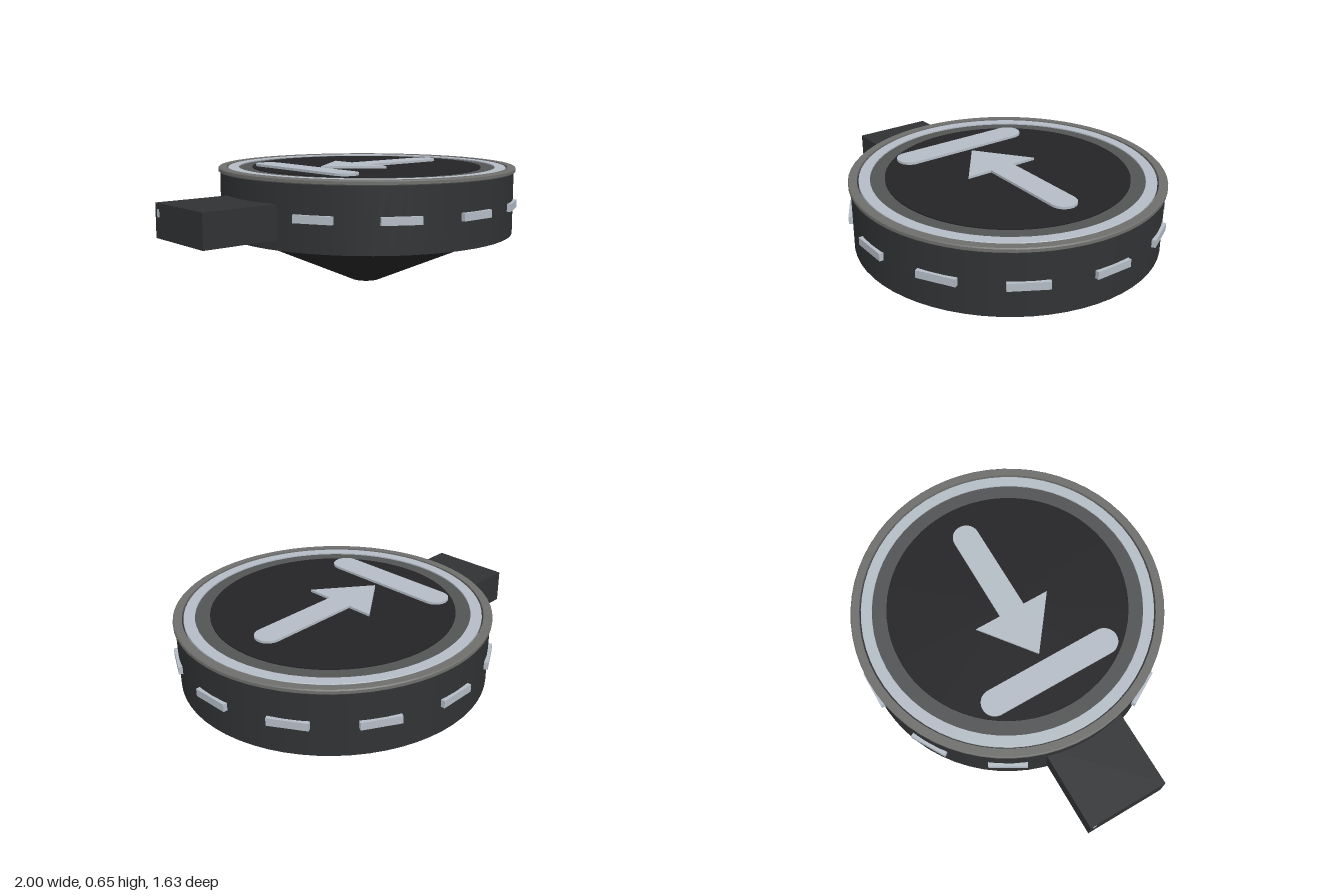
import * as THREE from 'three';
import { toCreasedNormals } from 'three/addons/utils/BufferGeometryUtils.js';

const CX = 0.18; // axis of the round housing
const mat = (color) => new THREE.MeshStandardMaterial({ color });

export function createModel() {
  const root = new THREE.Group();
  const black = mat(0x242427), dark = mat(0x303234), grey = mat(0x525354);
  const rimGrey = mat(0x6e6e6c), light = mat(0xb4bcc5);

  const add = (name, geo, material, x = CX, y = 0, z = 0) => {
    const m = new THREE.Mesh(geo, material);
    m.name = name;
    m.position.set(x, y, z);
    root.add(m);
    return m;
  };
  const drum = (name, rTop, rBottom, y0, y1, material) =>
    add(name, new THREE.CylinderGeometry(rTop, rBottom, y1 - y0, 64), material, CX, (y0 + y1) / 2);
  // Closed ring with a small bevel on its outer edges
  const ring = (name, rIn, rOut, y0, y1, bevel, material) => {
    const pts = [[rIn, y0], [rOut - bevel, y0], [rOut, y0 + bevel], [rOut, y1 - bevel],
      [rOut - bevel, y1], [rIn, y1], [rIn, y0]].map(([x, y]) => new THREE.Vector2(x, y));
    add(name, toCreasedNormals(new THREE.LatheGeometry(pts, 64), 0.5), material);
  };

  // Housing and tapered underside
  drum('housing', 0.8, 0.8, 0.285, 0.622, dark);
  drum('taperedBase', 0.72, 0.08, 0, 0.286, black);

  // Concentric rings and face plate on top
  ring('outerRim', 0.765, 0.81, 0.615, 0.64, 0.005, rimGrey);
  ring('lightRing', 0.70, 0.757, 0.615, 0.638, 0.002, light);
  ring('innerRing', 0.6, 0.70, 0.615, 0.632, 0.001, grey);
  drum('facePlate', 0.625, 0.625, 0.615, 0.637, black);

  // Raised symbols: shapes are drawn in x and z, then laid flat
  const symbol = (name, shape) => {
    const geo = new THREE.ExtrudeGeometry(shape, { depth: 0.02, bevelEnabled: false, curveSegments: 12 });
    geo.rotateX(-Math.PI / 2);
    add(name, toCreasedNormals(geo, 0.5), light, 0, 0.63);
  };
  const arrow = new THREE.Shape();
  arrow.moveTo(-0.14, 0);
  arrow.lineTo(0.135, -0.21);
  arrow.lineTo(0.135, -0.07);
  arrow.lineTo(0.62, -0.07);
  arrow.absarc(0.62, 0, 0.07, -Math.PI / 2, Math.PI / 2, false);
  arrow.lineTo(0.135, 0.07);
  arrow.lineTo(0.135, 0.21);
  arrow.closePath();
  symbol('arrow', arrow);

  const bar = new THREE.Shape();
  bar.absarc(-0.25, 0.32, 0.07, 0, Math.PI, false);
  bar.absarc(-0.25, -0.32, 0.07, Math.PI, Math.PI * 2, false);
  bar.closePath();
  symbol('bar', bar);

  // Twelve light markers around the wall
  for (let i = 0; i < 12; i++) {
    const a = (i * Math.PI) / 6;
    const m = add('sideMarker', new THREE.BoxGeometry(0.2, 0.04, 0.035), light,
      CX + Math.sin(a) * 0.7975, 0.45, Math.cos(a) * 0.7975);
    m.rotation.y = a;
  }

  // Side arm with a small indicator on its end
  add('sideArm', new THREE.BoxGeometry(0.46, 0.175, 0.435), dark, -0.77, 0.4225, 0);
  add('armIndicator', new THREE.BoxGeometry(0.01, 0.04, 0.02), light, -0.996, 0.46, -0.19);

  return root;
}
